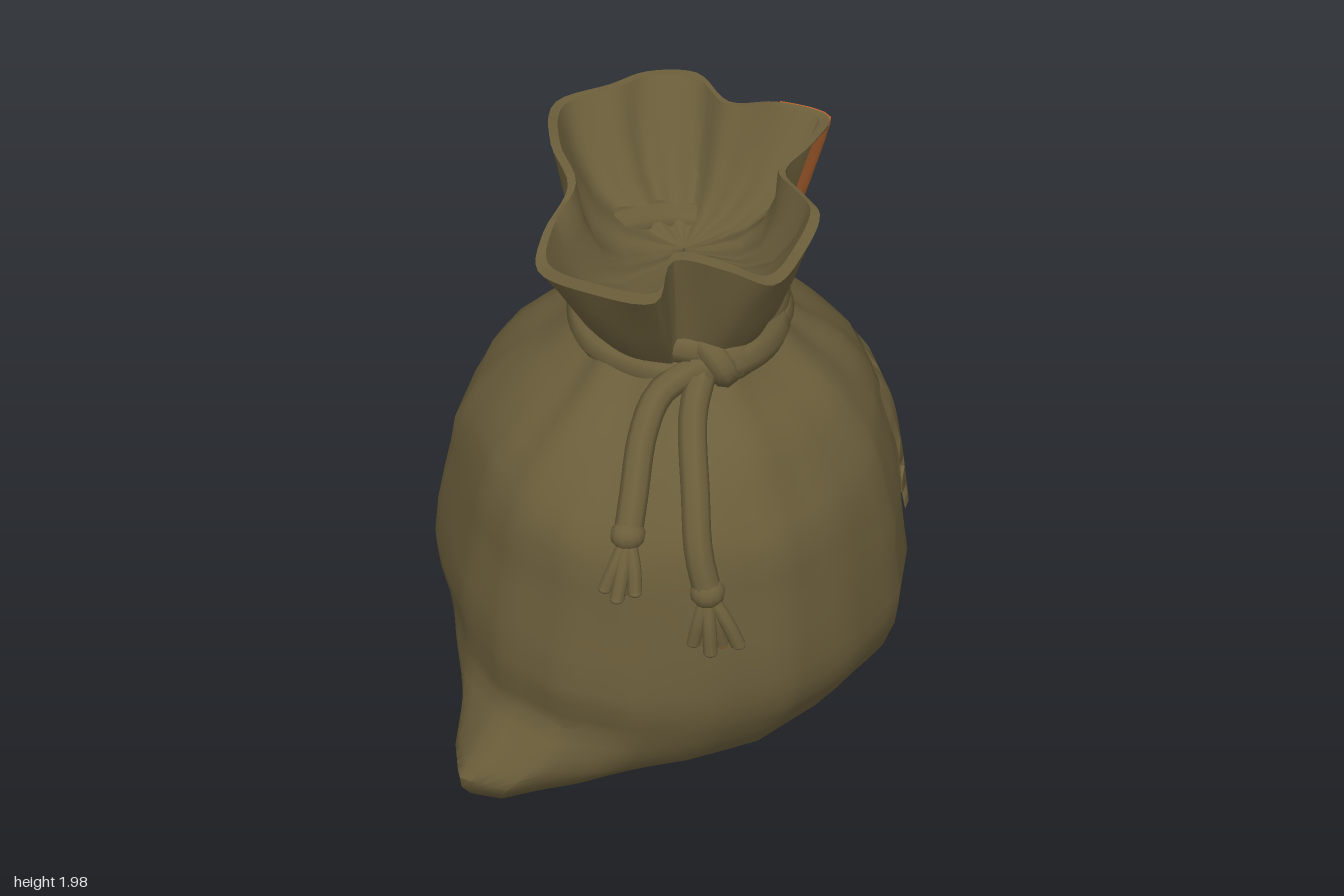
import * as THREE from 'three';
import { toCreasedNormals } from 'three/addons/utils/BufferGeometryUtils.js';

const V = (x, y, z) => new THREE.Vector3(x, y, z);

// Widest plan of the sack, as x/z corners from +x towards +z
const PLAN = [[.72, -.05], [.69, .15], [.62, .36], [.42, .58], [.2, .73], [-.05, .77], [-.3, .74],
  [-.5, .63], [-.65, .43], [-.71, .2], [-.71, -.05], [-.7, -.25], [-.58, -.5], [-.44, -.67],
  [-.2, -.78], [0, -.83], [.2, -.84], [.42, -.72], [.6, -.55], [.7, -.32]];

// Sack sections: height, scale along the bottom seam, scale across it, z shift
const ROWS = [[.008, .001, .001, 0], [.02, .7, .14, 0], [.05, .95, .36, 0], [.14, .97, .6, 0],
  [.22, .96, .78, 0], [.32, .97, .9, 0], [.42, .98, .97, 0], [.55, 1, 1, 0], [.8, .96, .97, 0],
  [1, .92, .91, .02], [1.13, .86, .83, .02], [1.27, .7, .7, .03], [1.38, .54, .54, .03], [1.5, .4, .4, .04]];

// Gathered mouth: rim points from +x towards +z
const RIM = [[.52, 1.96, -.2], [.44, 1.97, -.06], [.33, 1.96, .05], [.36, 1.97, .2], [.38, 1.98, .32],
  [.3, 1.96, .47], [.17, 1.95, .61], [.05, 1.97, .54], [-.1, 1.95, .42], [-.2, 1.94, .61],
  [-.38, 1.92, .49], [-.5, 1.89, .3], [-.45, 1.92, .15], [-.34, 1.97, 0], [-.35, 1.99, -.2],
  [-.28, 1.97, -.44], [-.1, 1.98, -.48], [.02, 1.98, -.52], [.17, 1.98, -.48], [.24, 1.96, -.34],
  [.38, 1.98, -.28]];
const rimCurve = new THREE.CatmullRomCurve3(RIM.map(p => V(...p)), true);

// Point on the sack at plan position u (0 to 20) and height y
function sackPoint(u, y, out = 0) {
  const n = PLAN.length, w = ((u % n) + n) % n, i = Math.floor(w), f = w - i;
  const p = PLAN[i], q = PLAN[(i + 1) % n];
  const x = p[0] + (q[0] - p[0]) * f, z = p[1] + (q[1] - p[1]) * f;
  let k = 0;
  while (k < ROWS.length - 2 && y > ROWS[k + 1][0]) k++;
  const t = (y - ROWS[k][0]) / (ROWS[k + 1][0] - ROWS[k][0]);
  const [, a, b, cz] = ROWS[k].map((v, j) => v + (ROWS[k + 1][j] - v) * t);
  // frame turned so its long axis runs between the bottom corners, which stick out as ears
  const dx = .875, dz = -.485, u0 = x * dx + z * dz;
  const ear = .22 * Math.max(0, 1 - Math.abs(y - .12) / .25) * Math.min(1, Math.abs(u0) / .77) ** 4;
  const along = u0 * (a + (y > .01 ? ear : 0)), across = (x * -dz + z * dx) * b;
  const ang = w / n * Math.PI * 2;
  const pleat = Math.max(0, (y - 1.1) / .4) * .05 * Math.cos(ang * 10 + Math.sin(ang * 3));
  const wrinkle = y > .1 ? .01 * Math.sin(y * 19 + 2.5 * Math.sin(ang * 2)) * Math.sin(ang * 3 + y * 4) : 0;
  const s = 1 + pleat + wrinkle;
  const px = (along * dx - across * dz) * s, pz = (along * dz + across * dx) * s;
  const r = Math.hypot(px, pz) || 1;
  return V(px + px / r * out, y, pz + pz / r * out + cz);
}

// Point on the gathered mouth: u round the rim (0 to 1), t from neck to rim
function mouthPoint(u, t, scale = 1) {
  const p = rimCurve.getPoint(((u % 1) + 1) % 1), r = Math.hypot(p.x, p.z), ease = t ** .85;
  const q = V(p.x / r * .27, 1.47, .05 + p.z / r * .29);
  q.set(q.x + (p.x - q.x) * ease, q.y + (p.y - q.y) * t, q.z + (p.z - q.z) * ease);
  const inner = Math.max(0, 1 - scale);
  const fold = 1 + (.12 + .5 * inner) * t * (1 - t) * Math.sin(u * Math.PI * 26);
  q.x = .06 * inner + q.x * scale * fold;
  q.z = .04 - .2 * inner + (q.z - .04) * scale * fold;
  return q;
}

// Skin over rows of points; closed rows wrap round
function loft(rows, closed, crease = .5) {
  const n = rows[0].length, index = [];
  for (let r = 0; r < rows.length - 1; r++) {
    for (let c = 0; c < (closed ? n : n - 1); c++) {
      const a = r * n + c, b = r * n + (c + 1) % n;
      index.push(a, a + n, b, b, a + n, b + n);
    }
  }
  const g = new THREE.BufferGeometry().setFromPoints(rows.flat());
  g.setIndex(index);
  return toCreasedNormals(g, crease);
}
const range = (n, f) => Array.from({ length: n }, (_, i) => f(i));

export function createModel() {
  const cloth = new THREE.MeshStandardMaterial({ color: 0x6b5e3b, side: THREE.DoubleSide });
  cloth.name = 'olive cloth';
  const rust = new THREE.MeshStandardMaterial({ color: 0xb0632f, side: THREE.DoubleSide });
  rust.name = 'rust';
  const model = new THREE.Group();
  model.name = 'sack';
  const add = (name, geo, mat = cloth, parent = model) => {
    const m = new THREE.Mesh(geo, mat);
    m.name = name;
    parent.add(m);
    return m;
  };

  // Sack body, with one extra section between each pair
  const heights = ROWS.flatMap((r, i) => i < ROWS.length - 1 ? [r[0], (r[0] + ROWS[i + 1][0]) / 2] : [r[0]]);
  add('body', loft(heights.map(y => range(80, c => sackPoint(c / 4, y))), true, .8));

  // Mouth: up the outside, over the lip, down the inside into a gathered funnel
  const steps = [[0, 1], [.25, 1], [.5, 1], [.75, 1], [1, 1], [1, .93], [.75, .9], [.5, .8], [.34, .58], [.24, .26], [.18, .01]];
  add('mouth', loft(steps.map(([t, s]) => range(105, c => mouthPoint(c / 105, t, s))), true, .7));

  // Rust panel on the outside of the mouth, narrowing downwards
  add('rustPanel', loft(range(6, r => range(9, c => {
    const k = 1 - r / 5, u0 = -.047 + .045 * k ** 1.4, u1 = .053 + .007 * k;
    return mouthPoint(u0 + (u1 - u0) * c / 8, 1 - .57 * k, 1.012);
  })), false, .7), rust);

  // Ragged cloth patch with rounded corners on the left side
  add('sidePatch', loft(range(13, r => range(17, c => {
    const h = r / 6 - 1, w = c / 8 - 1, side = Math.abs(w) === 1, end = Math.abs(h) === 1;
    const jag = k => .05 * Math.sin(k * 1.7) + .03 * Math.sin(k * 4.1);
    const u = -.6 + 1.32 * w * (1 - .12 * h ** 4) + (side ? jag(r + c) * 2 : 0);
    const y = .835 + .235 * h * (1 - .14 * w ** 4) + (end ? jag(c + r) * .3 : 0);
    return sackPoint(u, y, side || end ? .008 : .022);
  })), false));

  // Rope wound twice round the neck
  const rope = new THREE.Group();
  rope.name = 'rope';
  model.add(rope);
  const tube = (name, pts, r, closed = false, mat = cloth) =>
    add(name, new THREE.TubeGeometry(new THREE.CatmullRomCurve3(pts, closed), closed ? 48 : 14, r, 8, closed), mat, rope);
  const ball = (name, p, sx, sy, sz, mat = cloth) => {
    const m = add(name, new THREE.SphereGeometry(1, 12, 8), mat, rope);
    m.position.copy(p);
    m.scale.set(sx, sy, sz);
    return m;
  };
  [[1.5, .29, .32, .01, 0], [1.58, .28, .31, -.03, 1]].forEach(([y, rx, rz, tilt, ph], i) =>
    tube('ropeLoop' + (i + 1), range(20, k => {
      const a = k / 20 * Math.PI * 2, s = 1 + .025 * Math.sin(a * 5 + ph);
      return V(Math.cos(a) * rx * s, y + tilt * Math.cos(a) - .025 * Math.sin(a), .03 + Math.sin(a) * rz * s);
    }), .057, true));

  // Knot with a band across it
  ball('knot', V(.07, 1.52, .36), .11, .085, .07).rotation.z = -.2;
  tube('knotBand', [V(.0, 1.58, .33), V(.03, 1.56, .39), V(.06, 1.51, .41), V(.07, 1.45, .36)], .045);
  tube('knotWrap', [V(.26, 1.5, .1), V(.24, 1.5, .22), V(.12, 1.52, .36), V(-.03, 1.49, .36)], .065);

  // Hanging rope ends, each with a tied bead and a frayed tip
  const tails = [
    { pts: [V(-.02, 1.5, .37), V(-.14, 1.45, .41), V(-.21, 1.37, .49), V(-.27, 1.22, .62), V(-.3, 1.13, .68)], tip: V(-.34, .95, .75) },
    { pts: [V(0, 1.49, .38), V(-.05, 1.4, .47), V(-.08, 1.22, .64), V(-.09, 1.07, .73), V(-.07, .94, .77)], tip: V(-.05, .74, .8) },
  ];
  tails.forEach(({ pts, tip }, i) => {
    const end = pts[4];
    tube('ropeTail' + (i + 1), pts, .045);
    ball('tailBead' + (i + 1), end, .055, .05, .05);
    [-1.2, -.4, .4, 1.2].forEach((k, j) => {
      const spread = (i ? .055 : .035) * k;
      const to = V(tip.x + spread, tip.y + .02 * Math.abs(k), tip.z + (j % 2 ? .02 : -.02));
      tube('fray', [end, end.clone().lerp(to, .55).add(V(spread * .1, 0, .01)), to], .023);
      ball('frayEnd', to, .022, .013, .022, i && j === 2 ? rust : cloth);
    });
  });
  return model;
}
